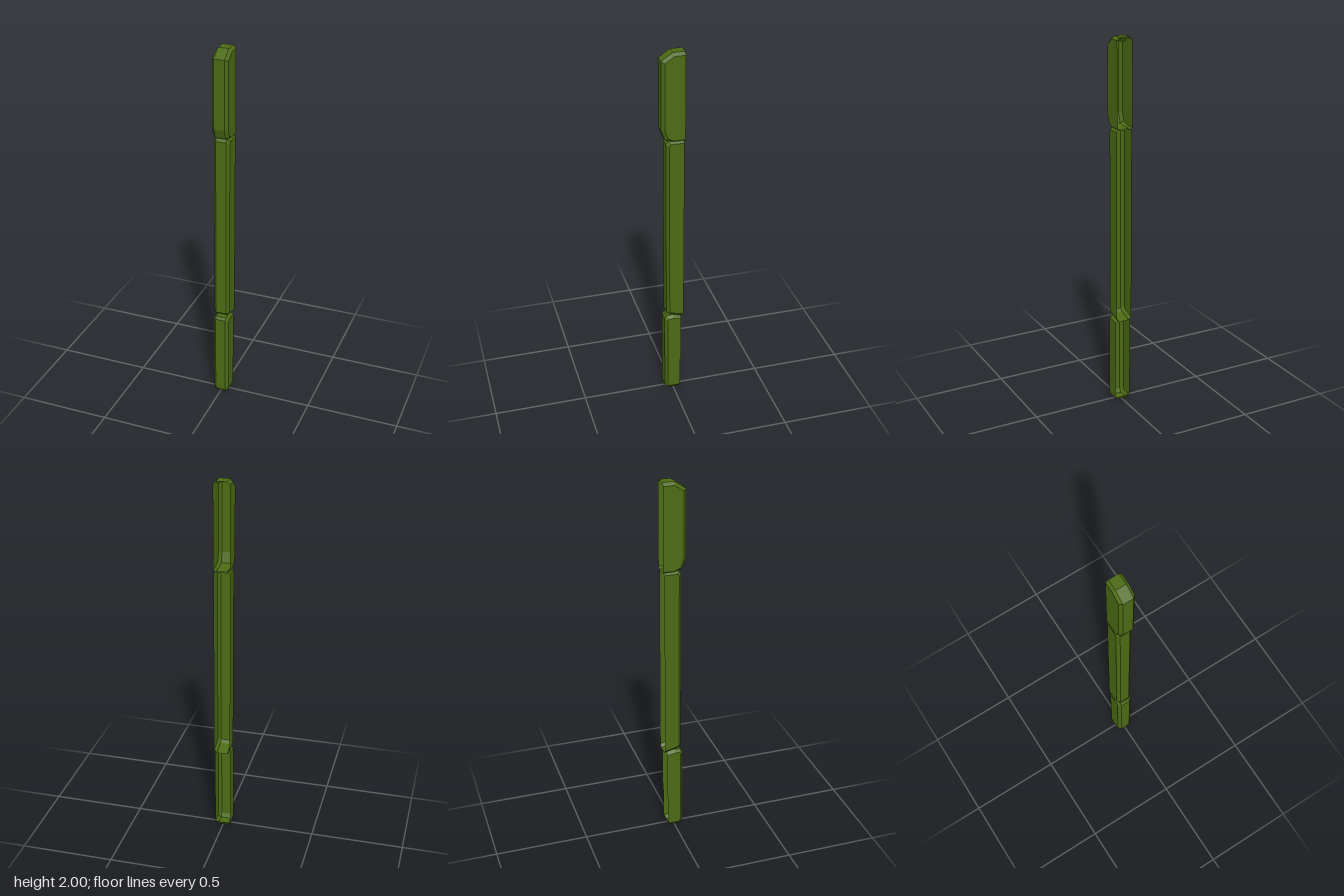
import * as THREE from 'three';

const material = new THREE.MeshStandardMaterial({ color: 0x4b6b14, flatShading: true, side: THREE.DoubleSide });

// Thin shell open at the back. The ridge outline runs [z, y] from the top back
// over the front to the bottom back; the rim outline edges the side panels.
function shell(name, ridge, rim, back = [], ridgeX = 0.028, rimX = 0.043) {
  const pos = [];
  const tri = (...corners) => corners.forEach(c => pos.push(...c));
  const row = k => [
    [-rimX, rim[k][1], rim[k][0]], [-ridgeX, ridge[k][1], ridge[k][0]],
    [ridgeX, ridge[k][1], ridge[k][0]], [rimX, rim[k][1], rim[k][0]],
  ];
  // Front strip with a bevel on each side
  for (let k = 0; k < ridge.length - 1; k++) {
    const a = row(k), b = row(k + 1);
    for (let j = 0; j < 3; j++) {
      tri(a[j], b[j], b[j + 1]);
      tri(a[j], b[j + 1], a[j + 1]);
    }
  }
  // Flat side panels, fanned from the upper front corner
  const outline = [...rim, ...back], n = outline.length;
  for (const s of [-1, 1]) {
    const at = i => [s * rimX, outline[i % n][1], outline[i % n][0]];
    for (let i = 2; i < n; i++) {
      if (s > 0) tri(at(1), at(i), at(i + 1));
      else tri(at(1), at(i + 1), at(i));
    }
  }
  const geometry = new THREE.BufferGeometry();
  geometry.setAttribute('position', new THREE.Float32BufferAttribute(pos, 3));
  geometry.computeVertexNormals();
  const mesh = new THREE.Mesh(geometry, material);
  mesh.name = name;
  return mesh;
}

export function createModel() {
  const group = new THREE.Group();
  group.name = 'segmentedGuard';

  // Deeper head with a sloping top and a tapered chin
  group.add(shell('upperSegment',
    [[-0.061, 2], [0, 2], [0.061, 1.96], [0.061, 1.595], [0.042, 1.543], [0, 1.53], [-0.061, 1.53]],
    [[-0.061, 1.985], [-0.004, 1.985], [0.045, 1.952], [0.045, 1.6], [0.03, 1.555], [-0.003, 1.54], [-0.061, 1.54]]));

  // Long middle piece with a slanted lower edge
  group.add(shell('middleSegment',
    [[-0.056, 1.535], [0.025, 1.535], [0.037, 1.52], [0.037, 0.512], [0.02, 0.497], [-0.056, 0.478]],
    [[-0.056, 1.522], [0.015, 1.522], [0.022, 1.51], [0.022, 0.522], [0.01, 0.511], [-0.056, 0.493]]));

  // Short lower piece, its back edge stepping in near the foot
  group.add(shell('lowerSegment',
    [[-0.043, 0.478], [0, 0.49], [0.035, 0.486], [0.047, 0.472], [0.047, 0.022], [0.035, 0], [-0.028, 0], [-0.038, 0.018]],
    [[-0.043, 0.466], [0, 0.474], [0.025, 0.472], [0.032, 0.464], [0.032, 0.03], [0.025, 0.018], [-0.025, 0.018], [-0.038, 0.022]],
    [[-0.038, 0.19], [-0.043, 0.19]]));

  return group;
}
